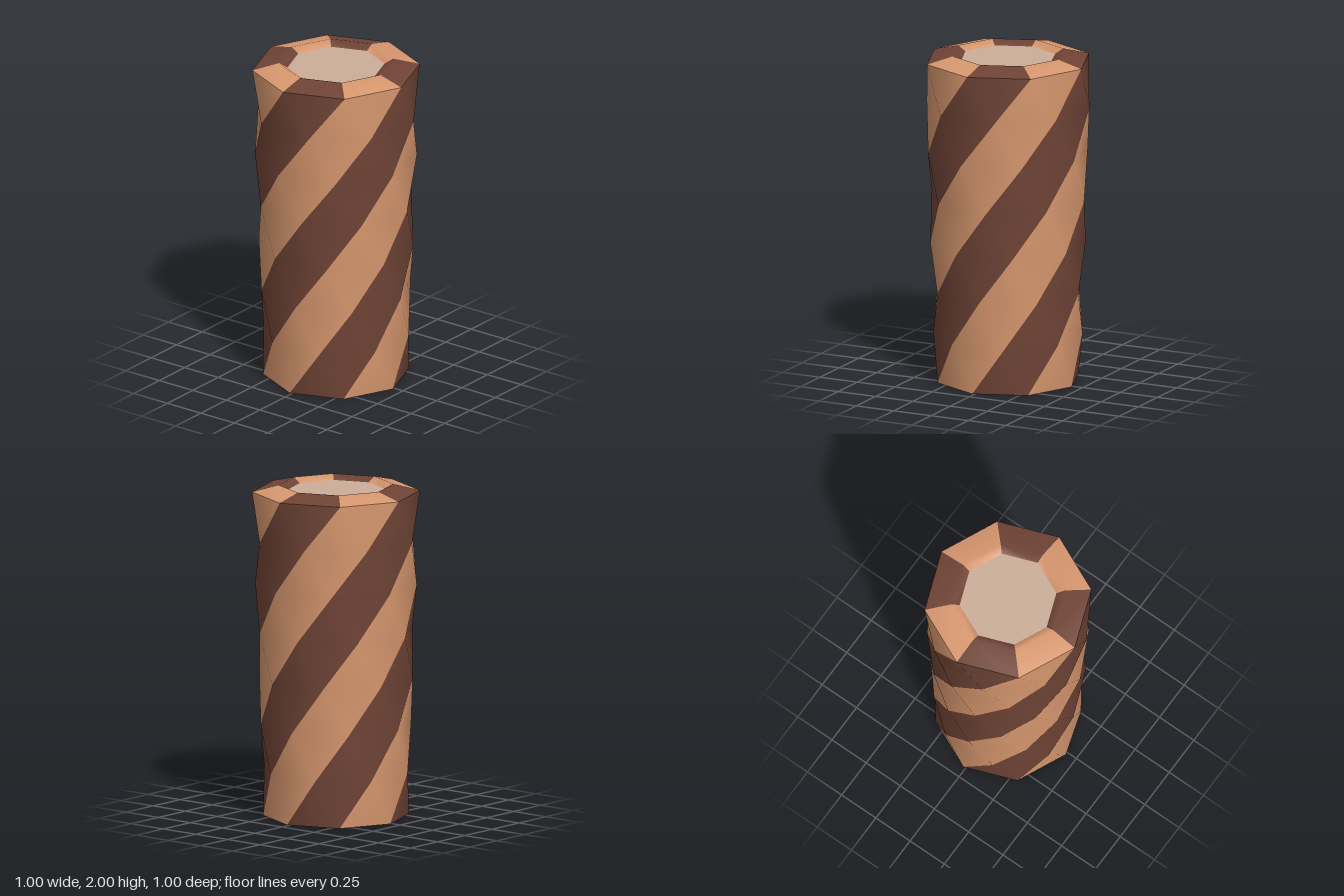
import * as THREE from 'three';

const SIDES = 8;
const START = THREE.MathUtils.degToRad(-2);

// Skin of stacked octagons [radius, height, twist], its sides alternating between two materials
function stripedSkin(name, rings, materials) {
  const positions = [];
  for (const [radius, y, twist] of rings) {
    for (let i = 0; i < SIDES; i++) {
      const a = START + twist + (i / SIDES) * Math.PI * 2;
      positions.push(radius * Math.sin(a), y, radius * Math.cos(a));
    }
  }
  const faces = [[], []];
  for (let r = 0; r < rings.length - 1; r++) {
    for (let i = 0; i < SIDES; i++) {
      const j = (i + 1) % SIDES;
      const a = r * SIDES + i, b = r * SIDES + j;
      const c = b + SIDES, d = a + SIDES;
      faces[i % 2].push(a, b, d, b, c, d);
    }
  }
  const geometry = new THREE.BufferGeometry();
  geometry.setAttribute('position', new THREE.Float32BufferAttribute(positions, 3));
  geometry.setIndex([...faces[0], ...faces[1]]);
  geometry.addGroup(0, faces[0].length, 0);
  geometry.addGroup(faces[0].length, faces[1].length, 1);
  geometry.computeVertexNormals();
  const mesh = new THREE.Mesh(geometry, materials);
  mesh.name = name;
  return mesh;
}

export function createModel() {
  const group = new THREE.Group();
  group.name = 'twistedColumn';

  const material = (name, color) => {
    const m = new THREE.MeshStandardMaterial({ color, side: THREE.DoubleSide });
    m.name = name;
    return m;
  };
  const brown = material('dark brown', 0x704436);
  const tan = material('warm tan', 0xd8986f);
  const cream = material('pale cream', 0xccae9a);

  // Open-bottomed wall, flaring upwards through half a turn
  const STEPS = 7;
  const wallRings = [];
  for (let k = 0; k <= STEPS; k++) {
    const t = k / STEPS;
    wallRings.push([0.435 + 0.065 * t, 1.96 * t, Math.PI * t]);
  }
  group.add(stripedSkin('wall', wallRings, [brown, tan]));

  // Raised rim, rising to a crest and dipping to the centre
  const rimRings = [[0.5, 1.96, 0], [0.34, 2.0, 0], [0.29, 1.97, 0]];
  group.add(stripedSkin('rim', rimRings, [brown, tan]));

  // Sunken centre panel
  const panel = new THREE.Mesh(new THREE.CircleGeometry(0.29, SIDES), cream);
  panel.name = 'centrePanel';
  panel.geometry.rotateX(-Math.PI / 2).rotateY(START);
  panel.position.y = 1.97;
  group.add(panel);

  return group;
}
